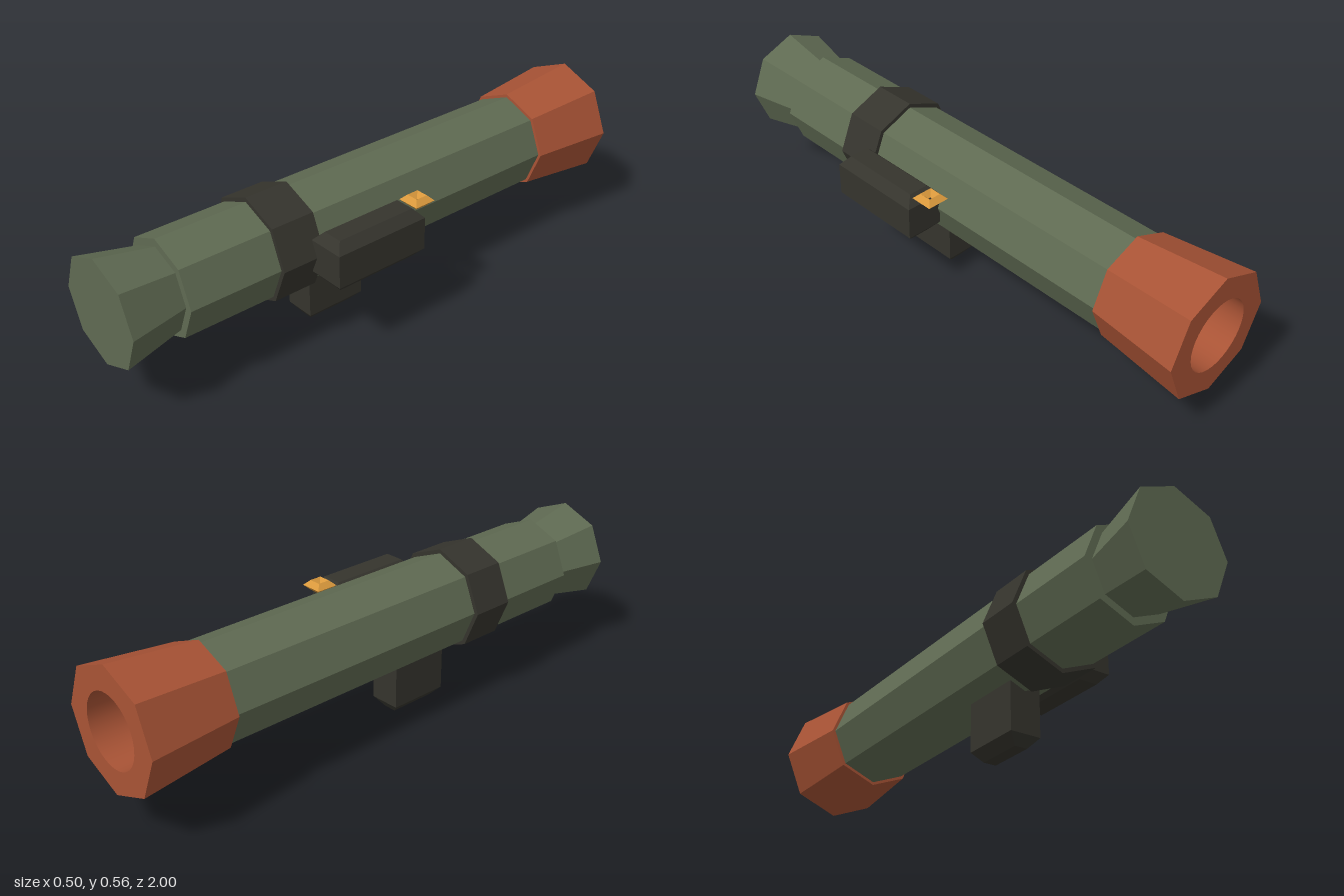
import * as THREE from 'three';

const AXIS_X = -0.04, AXIS_Y = 0.35;

const paint = (name, color) => {
  const m = new THREE.MeshStandardMaterial({ color });
  m.name = name;
  return m;
};

// Facet a geometry: one normal per face
function faceted(geometry) {
  const g = geometry.index ? geometry.toNonIndexed() : geometry;
  g.computeVertexNormals();
  return g;
}

// Eight-sided section along z, with corners at top, bottom and sides
function octagon(rFront, rBack, zFront, zBack, open = false) {
  const g = new THREE.CylinderGeometry(rFront, rBack, zFront - zBack, 8, 1, open);
  g.rotateX(Math.PI / 2).translate(0, 0, (zFront + zBack) / 2);
  return faceted(g);
}

// Box whose top and bottom edges are bevelled
function bevelledBox(w, h, d, bevelX, bevelY, bevelZ) {
  const g = new THREE.BoxGeometry(w, h, d, 1, 3, 1);
  const p = g.attributes.position;
  for (let i = 0; i < p.count; i++) {
    const y = p.getY(i);
    if (Math.abs(y) > h * 0.4) {
      p.setX(i, p.getX(i) - Math.sign(p.getX(i)) * bevelX);
      p.setZ(i, p.getZ(i) - Math.sign(p.getZ(i)) * bevelZ);
    } else {
      p.setY(i, Math.sign(y) * (h / 2 - bevelY));
    }
  }
  return faceted(g);
}

export function createModel() {
  const green = paint('olive green', 0x5f6a52);
  const orange = paint('burnt orange', 0xa85335);
  const dark = paint('dark grey', 0x35342d);
  const amber = paint('amber', 0xd9983c);

  const model = new THREE.Group();
  model.name = 'launcher';
  const barrel = new THREE.Group();
  barrel.name = 'barrel';
  barrel.position.set(AXIS_X, AXIS_Y, 0);
  model.add(barrel);

  const add = (parent, name, geometry, material, x = 0, y = 0, z = 0) => {
    const mesh = new THREE.Mesh(geometry, material);
    mesh.name = name;
    mesh.position.set(x, y, z);
    parent.add(mesh);
  };

  // Barrel sections
  add(barrel, 'tube', octagon(0.169, 0.169, 0.8, -0.69), green);
  add(barrel, 'frontFlare', octagon(0.184, 0.14, 1, 0.79), green);
  add(barrel, 'band', octagon(0.184, 0.184, 0.475, 0.318), dark);

  // Rear nozzle: shell, front collar, rear rim and round bore
  const nozzle = new THREE.Group();
  nozzle.name = 'nozzle';
  barrel.add(nozzle);
  const rearR = 0.212, boreR = 0.122;
  add(nozzle, 'nozzleShell', octagon(0.18, rearR, -0.685, -1, true), orange);
  add(nozzle, 'nozzleCollar', new THREE.CircleGeometry(0.18, 8), orange, 0, 0, -0.685);

  const rim = new THREE.Shape();
  for (let i = 0; i < 8; i++) {
    const a = i * Math.PI / 4;
    rim[i ? 'lineTo' : 'moveTo'](rearR * Math.cos(a), rearR * Math.sin(a));
  }
  rim.closePath();
  rim.holes.push(new THREE.Path().absarc(0, 0, boreR, 0, Math.PI * 2, true));
  const rimGeometry = new THREE.ShapeGeometry(rim, 16).rotateY(Math.PI);
  add(nozzle, 'nozzleRim', rimGeometry, orange, 0, 0, -1);

  const bore = new THREE.CylinderGeometry(boreR, boreR, 0.3, 32, 1, true);
  const boreProfile = [new THREE.Vector2(boreR, -0.7), new THREE.Vector2(boreR, -1)];
  bore.copy(new THREE.LatheGeometry(boreProfile, 32)).rotateX(Math.PI / 2);
  add(nozzle, 'bore', bore, orange);
  add(nozzle, 'boreFloor', new THREE.CircleGeometry(boreR, 32).rotateY(Math.PI), orange, 0, 0, -0.7);

  // Grip below and sight housing on the left side
  add(model, 'grip', bevelledBox(0.112, 0.26, 0.222, 0.033, 0.035, 0.026), dark, AXIS_X, 0.13, 0.173);
  add(model, 'sightHousing', bevelledBox(0.133, 0.178, 0.354, 0.031, 0.032, 0.028), dark, 0.186, 0.349, 0.172);

  // Square sight ring with a diamond section
  const k = Math.SQRT2;
  const diamond = [[0.022, -0.018], [0.04, 0], [0.022, 0.018], [0.004, 0], [0.022, -0.018]]
    .map(([r, y]) => new THREE.Vector2(r * k, y));
  const ring = new THREE.LatheGeometry(diamond, 4).rotateY(Math.PI / 4);
  add(model, 'sightRing', faceted(ring), amber, 0.185, 0.433, -0.032);

  return model;
}
